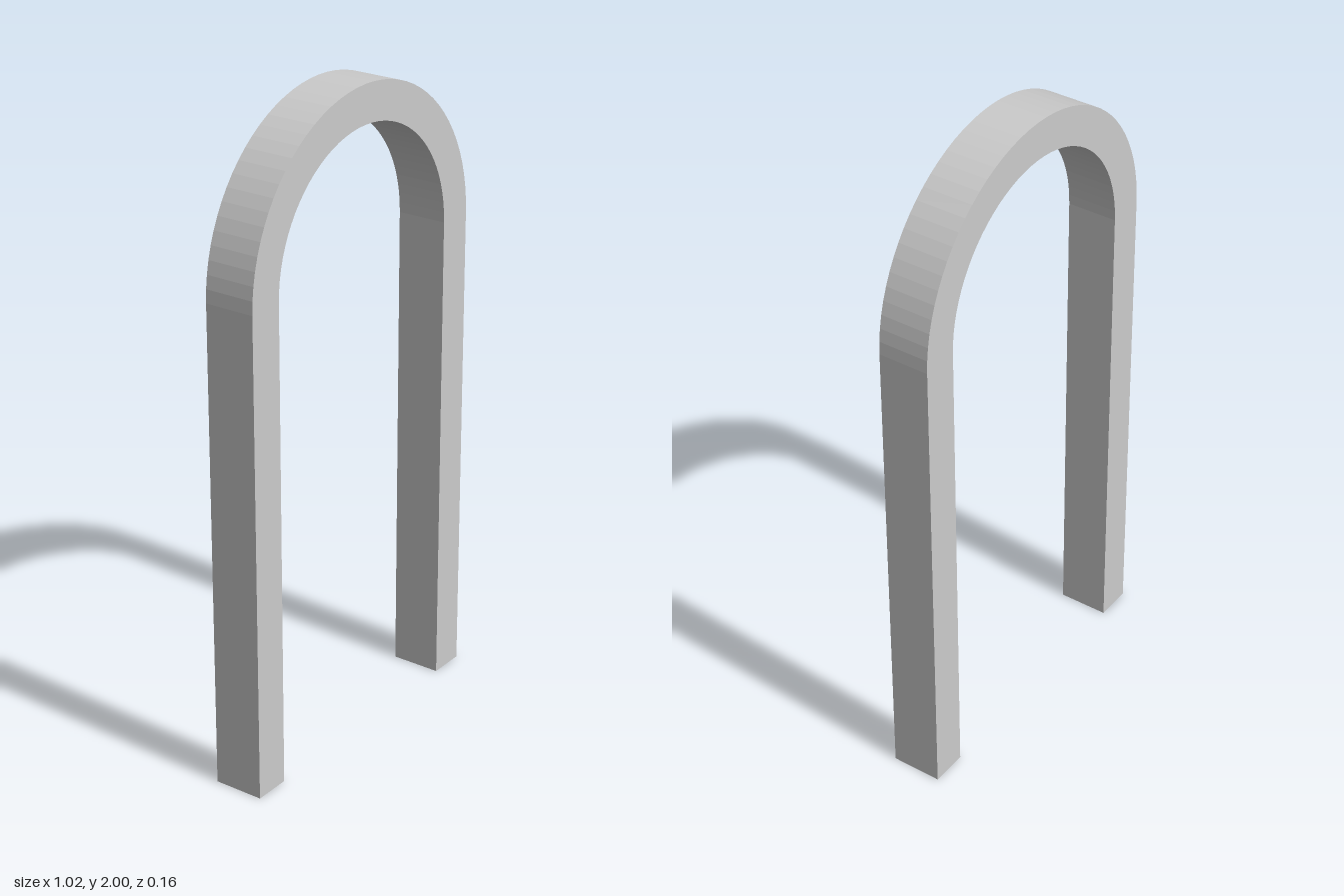
import * as THREE from 'three';

export function createModel() {
  const outer = 0.509, inner = 0.394, depth = 0.156;
  const springY = 2 - outer; // height where the legs meet the arch

  // Outline: up the outside, over the arch, back along the inside
  const outline = new THREE.Shape();
  outline.moveTo(outer, 0);
  outline.lineTo(outer, springY);
  outline.absarc(0, springY, outer, 0, Math.PI, false);
  outline.lineTo(-outer, 0);
  outline.lineTo(-inner, 0);
  outline.lineTo(-inner, springY);
  outline.absarc(0, springY, inner, Math.PI, 0, true);
  outline.lineTo(inner, 0);
  outline.closePath();

  const geometry = new THREE.ExtrudeGeometry(outline, {
    depth, bevelEnabled: false, curveSegments: 20,
  });
  geometry.translate(0, 0, -depth / 2);

  // Square-section arch with two straight legs
  const arch = new THREE.Mesh(
    geometry,
    new THREE.MeshStandardMaterial({ color: 0xcccccc, flatShading: true }),
  );
  arch.name = 'archFrame';

  const group = new THREE.Group();
  group.name = 'arch';
  group.add(arch);
  return group;
}
